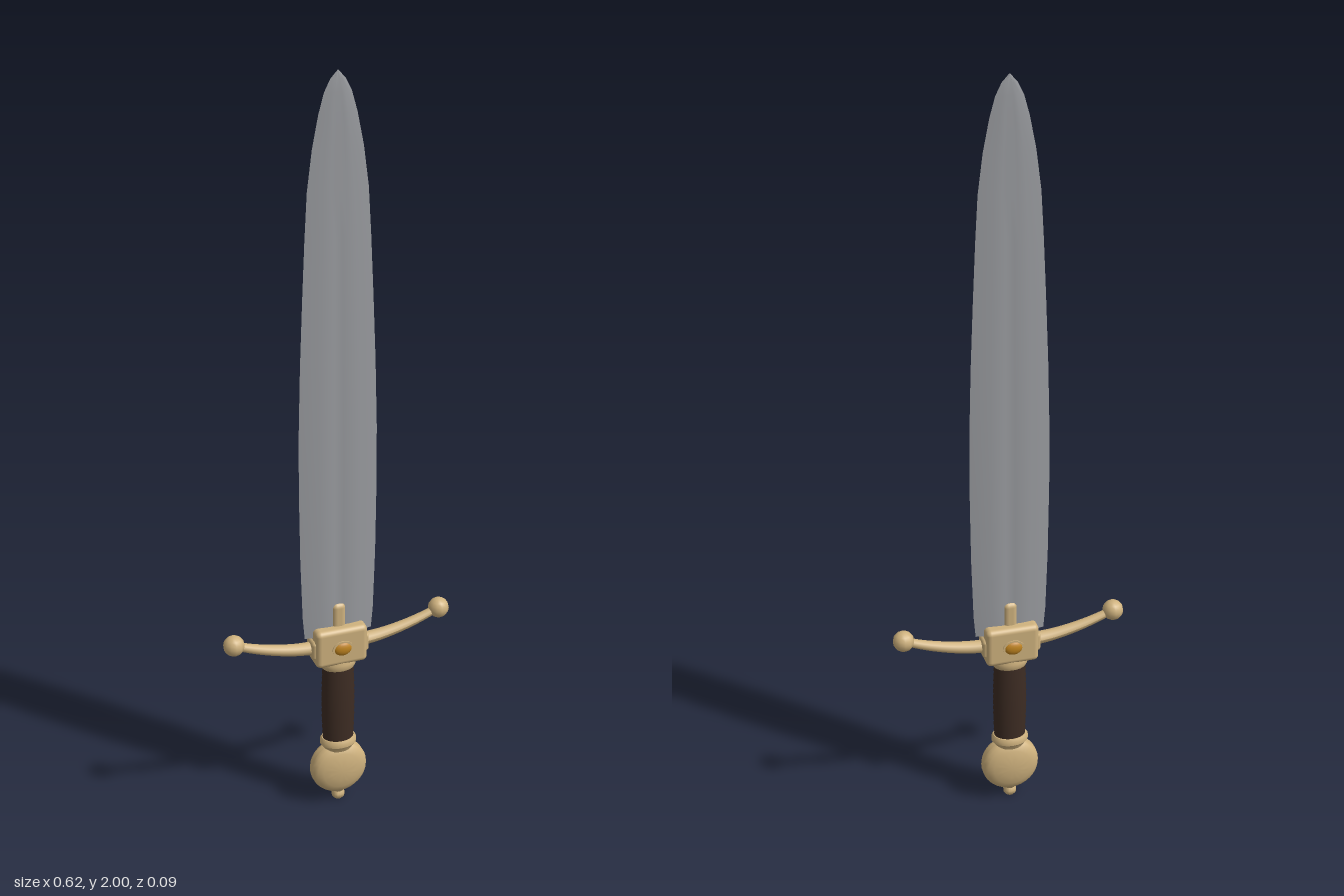
import * as THREE from 'three';
import { toCreasedNormals } from 'three/addons/utils/BufferGeometryUtils.js';
import { RoundedBoxGeometry } from 'three/addons/geometries/RoundedBoxGeometry.js';

const material = (name, color) => {
  const m = new THREE.MeshStandardMaterial({ color });
  m.name = name;
  return m;
};

// Lathe from [radius, height] pairs, with crisp edges kept
const lathe = (points, sides = 24) =>
  toCreasedNormals(new THREE.LatheGeometry(points.map(([r, y]) => new THREE.Vector2(r, y)), sides), 0.7);

// Skin a stack of closed cross-sections (each runs counter-clockwise from above)
function loft(rings) {
  const n = rings[0].length, index = [];
  for (let i = 0; i < rings.length - 1; i++) {
    for (let j = 0; j < n; j++) {
      const a = i * n + j, b = i * n + (j + 1) % n;
      index.push(a, b, a + n, b, b + n, a + n);
    }
  }
  for (let j = 1; j < n - 1; j++) index.push(0, j + 1, j);
  const g = new THREE.BufferGeometry();
  g.setAttribute('position', new THREE.Float32BufferAttribute(rings.flat(2), 3));
  g.setIndex(index);
  return g;
}

// Blade: leaf outline with a shallow fuller on each face
function bladeGeometry() {
  // [height, half width, half thickness]
  const outline = [
    [0.52, 0.092, 0.010], [0.58, 0.097, 0.010], [0.75, 0.102, 0.010], [0.95, 0.104, 0.0095],
    [1.1, 0.103, 0.009], [1.28, 0.098, 0.008], [1.45, 0.091, 0.007], [1.6, 0.084, 0.0065],
    [1.72, 0.077, 0.006], [1.82, 0.064, 0.005], [1.9, 0.048, 0.005], [1.95, 0.034, 0.004],
    [1.98, 0.019, 0.003], [2.0, 0.0005, 0.0005],
  ];
  const half = [[1, 0], [0.78, 0.42], [0.5, 0.8], [0.25, 1], [0.12, 0.8], [0, 0.72],
    [-0.12, 0.8], [-0.25, 1], [-0.5, 0.8], [-0.78, 0.42]];
  const section = [...half.map(([x, z]) => [x, -z]), ...half.map(([x, z]) => [-x, z])];
  return toCreasedNormals(loft(outline.map(([y, w, t]) => section.map(([x, z]) => [x * w, y, z * t]))), 0.6);
}

// Guard arm: round bar tapering along an upward curve
function armGeometry() {
  const curve = new THREE.CatmullRomCurve3([
    [0.05, 0.487], [0.11, 0.491], [0.17, 0.502], [0.23, 0.519], [0.285, 0.54],
  ].map(([x, y]) => new THREE.Vector3(x, y, 0)));
  const steps = 14, sides = 10;
  const g = new THREE.TubeGeometry(curve, steps, 1, sides);
  const p = g.attributes.position, v = new THREE.Vector3();
  for (let i = 0; i < p.count; i++) {
    const t = Math.floor(i / (sides + 1)) / steps;
    const c = curve.getPointAt(t);
    v.fromBufferAttribute(p, i).sub(c).multiplyScalar(0.019 - 0.008 * t).add(c);
    p.setXYZ(i, v.x, v.y, v.z);
  }
  g.computeVertexNormals();
  return g;
}

export function createModel() {
  const model = new THREE.Group();
  model.name = 'dagger';
  const steel = material('steel', 0x9b9da1);
  const brass = material('pale brass', 0xcfb27e);
  const leather = material('dark leather', 0x3d2c23);
  const amber = material('amber', 0xc08420);

  const add = (name, geometry, mat, x = 0, y = 0, z = 0, parent = model) => {
    const mesh = new THREE.Mesh(geometry, mat);
    mesh.name = name;
    mesh.position.set(x, y, z);
    parent.add(mesh);
    return mesh;
  };

  add('blade', bladeGeometry(), steel);

  // Guard block with a tongue rising over both blade faces
  add('guardBlock', new RoundedBoxGeometry(0.142, 0.108, 0.074, 3, 0.014), brass, 0, 0.494);
  add('bladeTongue', new RoundedBoxGeometry(0.038, 0.09, 0.03, 3, 0.014), brass, 0, 0.568);
  add('guardFoot', lathe([[0, 0.42], [0.044, 0.42], [0.048, 0.428], [0.048, 0.438], [0.044, 0.45], [0, 0.45]]), brass)
    .scale.z = 0.76;

  // Oval stones front and back
  for (const s of [1, -1]) {
    const setting = add(s > 0 ? 'frontSetting' : 'backSetting',
      new THREE.CylinderGeometry(1, 1, 0.006, 20), brass, 0, 0.492, s * 0.037);
    setting.rotation.x = Math.PI / 2;
    setting.scale.set(0.029, 1, 0.023);
    add(s > 0 ? 'frontStone' : 'backStone', new THREE.SphereGeometry(1, 16, 10), amber, 0, 0.492, s * 0.036)
      .scale.set(0.025, 0.02, 0.011);
  }

  // Guard arms, mirrored by a half turn
  for (const [name, turn] of [['leftArm', 0], ['rightArm', Math.PI]]) {
    const arm = new THREE.Group();
    arm.name = name;
    arm.rotation.y = turn;
    model.add(arm);
    add('armBar', armGeometry(), brass, 0, 0, 0, arm);
    add('armSocket', new RoundedBoxGeometry(0.03, 0.054, 0.054, 2, 0.01), brass, 0.064, 0.489, 0, arm);
    add('armBall', new THREE.SphereGeometry(0.028, 12, 8), brass, 0.284, 0.54, 0, arm);
  }

  // Wrapped grip with shallow ridges
  const ridges = 14, grip = [[0, 0.19]];
  for (let i = 0; i <= ridges * 2; i++) {
    const t = i / (ridges * 2);
    grip.push([0.041 + 0.003 * Math.sin(Math.PI * t) + (i % 2) * 0.0015, 0.19 + 0.24 * t]);
  }
  grip.push([0, 0.43]);
  add('grip', lathe(grip), leather).scale.z = 0.78;

  // Ring between grip and pommel
  add('gripRing', lathe([[0, 0.165], [0.038, 0.165], [0.044, 0.176], [0.05, 0.183], [0.05, 0.193],
    [0.045, 0.201], [0, 0.201]]), brass).scale.z = 0.8;

  // Wheel pommel with domed faces, and its end button
  const pommel = add('pommel', lathe([[0, -0.038], [0.03, -0.036], [0.052, -0.031], [0.066, -0.025], [0.074, -0.018],
    [0.078, -0.008], [0.078, 0.008], [0.074, 0.018], [0.066, 0.025], [0.052, 0.031], [0.03, 0.036], [0, 0.038]], 32),
  brass, 0, 0.105);
  pommel.rotation.x = Math.PI / 2;
  add('pommelButton', lathe([[0, 0], [0.012, 0], [0.017, 0.006], [0.018, 0.016], [0.014, 0.024], [0.02, 0.034], [0, 0.034]], 16), brass);

  return model;
}
